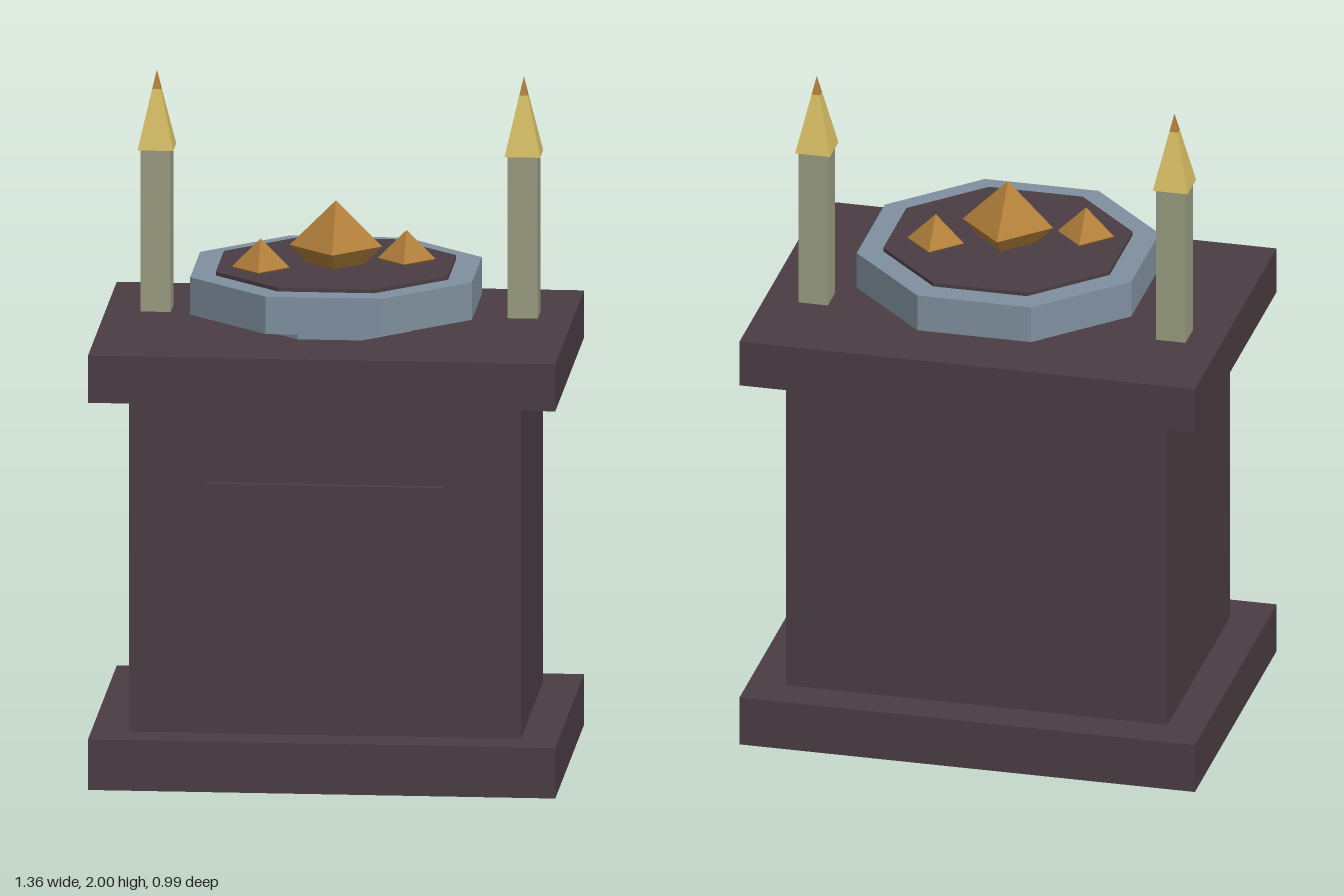
import * as THREE from 'three';

const mat = (name, color) => {
  const m = new THREE.MeshStandardMaterial({ color });
  m.name = name;
  m.flatShading = true;
  return m;
};

export function createModel() {
  const stone = mat('dark stone', 0x4a3d43);
  const steel = mat('blue grey metal', 0x80909f);
  const wax = mat('pale green wax', 0x999c80);
  const flameGold = mat('flame gold', 0xd4bb64);
  const ember = mat('ember orange', 0xb27f3a);

  const altar = new THREE.Group();
  altar.name = 'altar';

  const add = (name, geometry, material, x, y, z, parent = altar) => {
    const mesh = new THREE.Mesh(geometry, material);
    mesh.name = name;
    mesh.position.set(x, y, z);
    parent.add(mesh);
    return mesh;
  };
  // Box standing on height y0
  const block = (name, w, y0, y1, d, material, x = 0, z = 0, parent = altar) =>
    add(name, new THREE.BoxGeometry(w, y1 - y0, d), material, x, (y0 + y1) / 2, z, parent);
  // Regular prism or frustum with flat sides facing the axes; radii are to the flats
  const prism = (name, sides, top, bottom, y0, y1, material, x = 0, z = 0, parent = altar) => {
    const k = 1 / Math.cos(Math.PI / sides);
    const g = new THREE.CylinderGeometry(top * k, bottom * k, y1 - y0, sides);
    g.rotateY(Math.PI / sides);
    return add(name, g, material, x, (y0 + y1) / 2, z, parent);
  };

  // Pedestal
  block('base', 1.36, 0, 0.15, 0.99, stone);
  block('body', 1.14, 0.15, 1.15, 0.76, stone);
  block('topSlab', 1.36, 1.15, 1.29, 0.99, stone);
  block('frontPanel', 0.694, 0.4, 0.896, 0.03, stone, 0, 0.39);

  // Octagonal brazier with its bed of coals
  prism('brazierFoot', 8, 0.226, 0.226, 1.29, 1.345, steel);
  prism('brazierBowl', 8, 0.41, 0.41, 1.345, 1.456, steel);
  prism('coalBed', 8, 0.338, 0.338, 1.45, 1.467, stone);

  // Embers half sunk in the bed
  for (const [x, y, z, r] of [
    [0, 1.52, 0, 0.135],
    [-0.212, 1.472, 0.085, 0.084],
    [0.2, 1.472, -0.064, 0.084],
  ]) add('ember', new THREE.OctahedronGeometry(r), ember, x, y, z);

  // Candles with pyramid flames
  for (const side of [-1, 1]) {
    const candle = new THREE.Group();
    candle.name = side > 0 ? 'leftCandle' : 'rightCandle';
    candle.position.set(side * 0.534, 0, -0.15);
    altar.add(candle);
    block('candleShaft', 0.088, 1.29, 1.77, 0.088, wax, 0, 0, candle);
    prism('flame', 4, 0.0125, 0.052, 1.77, 1.945, flameGold, 0, 0, candle);
    prism('flameTip', 4, 0, 0.0125, 1.945, 2, ember, 0, 0, candle);
  }
  return altar;
}
